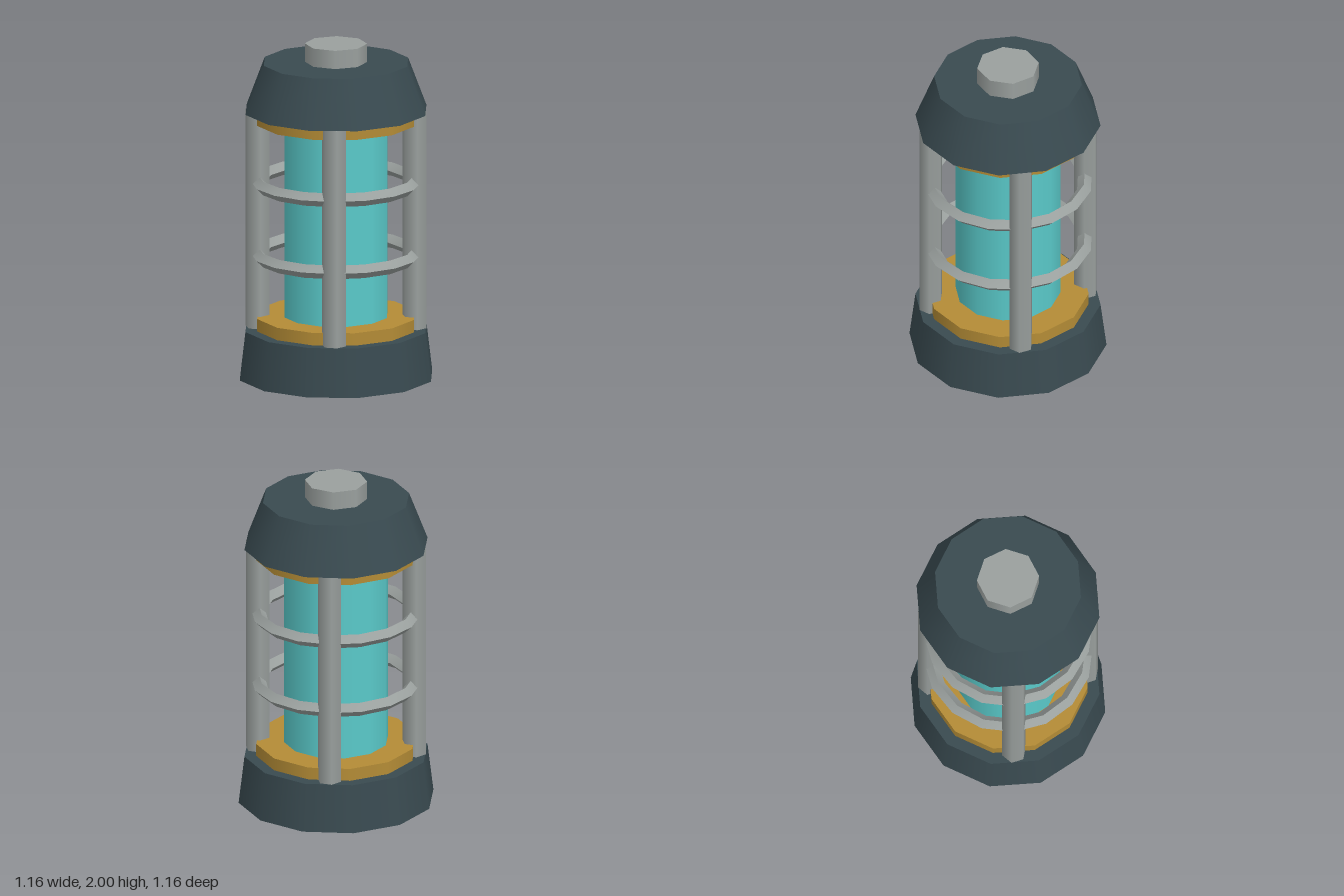
import * as THREE from 'three';
import { toCreasedNormals } from 'three/addons/utils/BufferGeometryUtils.js';

const paint = (name, color) => {
  const m = new THREE.MeshStandardMaterial({ color });
  m.name = name;
  return m;
};

export function createModel() {
  const model = new THREE.Group();
  model.name = 'cagedLantern';

  const darkSlate = paint('darkSlate', 0x394a50);
  const brass = paint('brass', 0xb48c36);
  const steel = paint('steel', 0x9aa09e);
  const glow = paint('glowTeal', 0x5acaca);

  // Upright prism or frustum between two heights
  const column = (name, material, rTop, rBottom, y0, y1, sides, x = 0, z = 0) => {
    const mesh = new THREE.Mesh(new THREE.CylinderGeometry(rTop, rBottom, y1 - y0, sides), material);
    mesh.position.set(x, (y0 + y1) / 2, z);
    mesh.name = name;
    model.add(mesh);
  };

  // Base, cap and top knob
  column('base', darkSlate, 0.545, 0.58, 0, 0.29, 12);
  column('cap', darkSlate, 0.435, 0.545, 1.6, 1.89, 12);
  column('knob', steel, 0.183, 0.183, 1.89, 2, 8);

  // Brass collars and the glowing core
  column('lowerCollar', brass, 0.475, 0.475, 0.29, 0.365, 12);
  column('upperCollar', brass, 0.475, 0.475, 1.53, 1.6, 12);
  column('core', glow, 0.31, 0.31, 0.365, 1.53, 12);

  // Four hexagonal corner posts
  for (const x of [-0.325, 0.325]) {
    for (const z of [-0.325, 0.325]) column('post', steel, 0.0725, 0.0725, 0.29, 1.6, 6, x, z);
  }

  // Two guard rings with a diamond section
  const ringGeometry = toCreasedNormals(new THREE.TorusGeometry(0.457, 0.041, 4, 16).rotateX(Math.PI / 2), 0.9);
  for (const y of [0.73, 1.165]) {
    const ring = new THREE.Mesh(ringGeometry, steel);
    ring.position.y = y;
    ring.name = 'guardRing';
    model.add(ring);
  }

  return model;
}
